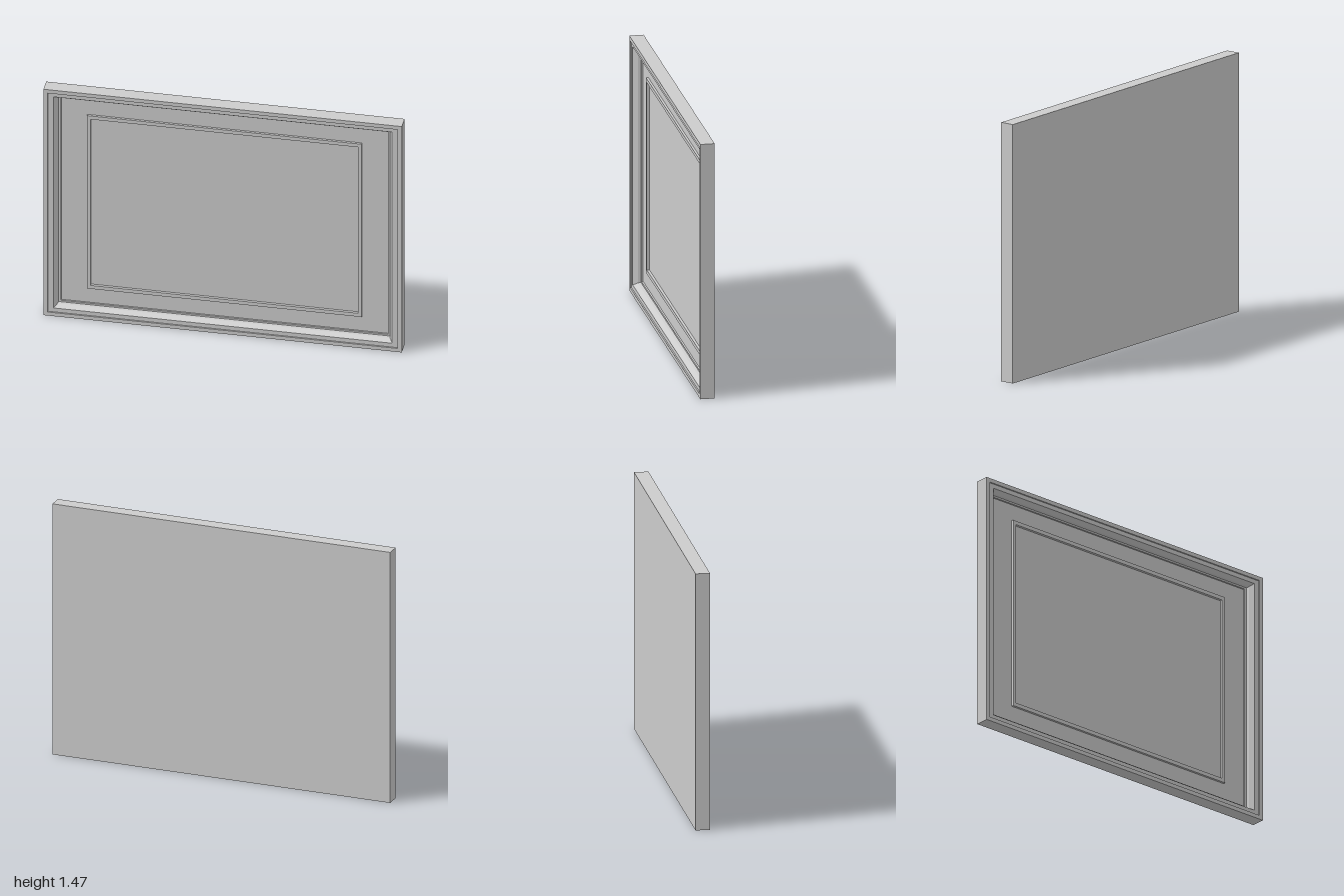
import * as THREE from 'three';

const W = 2, H = 1.465, BACK = -0.04;
const grey = new THREE.MeshStandardMaterial({ color: 0xcccccc, flatShading: true });

// Sweeps a profile of [insetX, insetY, z] points around a mitred rectangle.
function mitredRing(name, profile) {
  const corners = [[-1, -1], [1, -1], [1, 1], [-1, 1]];
  const point = ([ix, iy, z], [sx, sy]) => [sx * (W / 2 - ix), H / 2 + sy * (H / 2 - iy), z];
  const positions = [];
  for (let i = 0; i < profile.length - 1; i++) {
    for (let c = 0; c < 4; c++) {
      const from = corners[c], to = corners[(c + 1) % 4];
      const a = point(profile[i], from), b = point(profile[i], to);
      const d = point(profile[i + 1], from), e = point(profile[i + 1], to);
      positions.push(...a, ...b, ...e, ...a, ...e, ...d);
    }
  }
  const geometry = new THREE.BufferGeometry();
  geometry.setAttribute('position', new THREE.Float32BufferAttribute(positions, 3));
  geometry.computeVertexNormals();
  const mesh = new THREE.Mesh(geometry, grey);
  mesh.name = name;
  return mesh;
}

// Flat rectangle facing front (+1) or back (-1).
function panel(name, insetX, insetY, z, facing) {
  const mesh = new THREE.Mesh(new THREE.PlaneGeometry(W - 2 * insetX, H - 2 * insetY), grey);
  mesh.position.set(0, H / 2, z);
  if (facing < 0) mesh.rotation.y = Math.PI;
  mesh.name = name;
  return mesh;
}

export function createModel() {
  const group = new THREE.Group();
  group.name = 'pictureFrame';

  // Moulding: outer side, raised rim, step, inner bevel and rebate
  group.add(mitredRing('frameMoulding', [
    [0, 0, BACK],
    [0, 0, 0.04],
    [0.024, 0.023, 0.04],
    [0.024, 0.023, 0.032],
    [0.055, 0.048, 0.032],
    [0.072, 0.063, 0.006],
    [0.075, 0.066, -0.01],
    [0.088, 0.076, -0.01],
    [0.088, 0.076, -0.02],
  ]));

  // Mat board between the moulding and the bead
  group.add(mitredRing('mat', [
    [0.088, 0.076, -0.02],
    [0.233, 0.172, -0.02],
  ]));

  // Slim raised bead around the picture
  group.add(mitredRing('innerBead', [
    [0.233, 0.172, -0.02],
    [0.233, 0.172, -0.007],
    [0.254, 0.194, -0.007],
    [0.254, 0.194, -0.022],
  ]));

  group.add(panel('picture', 0.254, 0.194, -0.022, 1));
  group.add(panel('backBoard', 0, 0, BACK, -1));
  return group;
}
